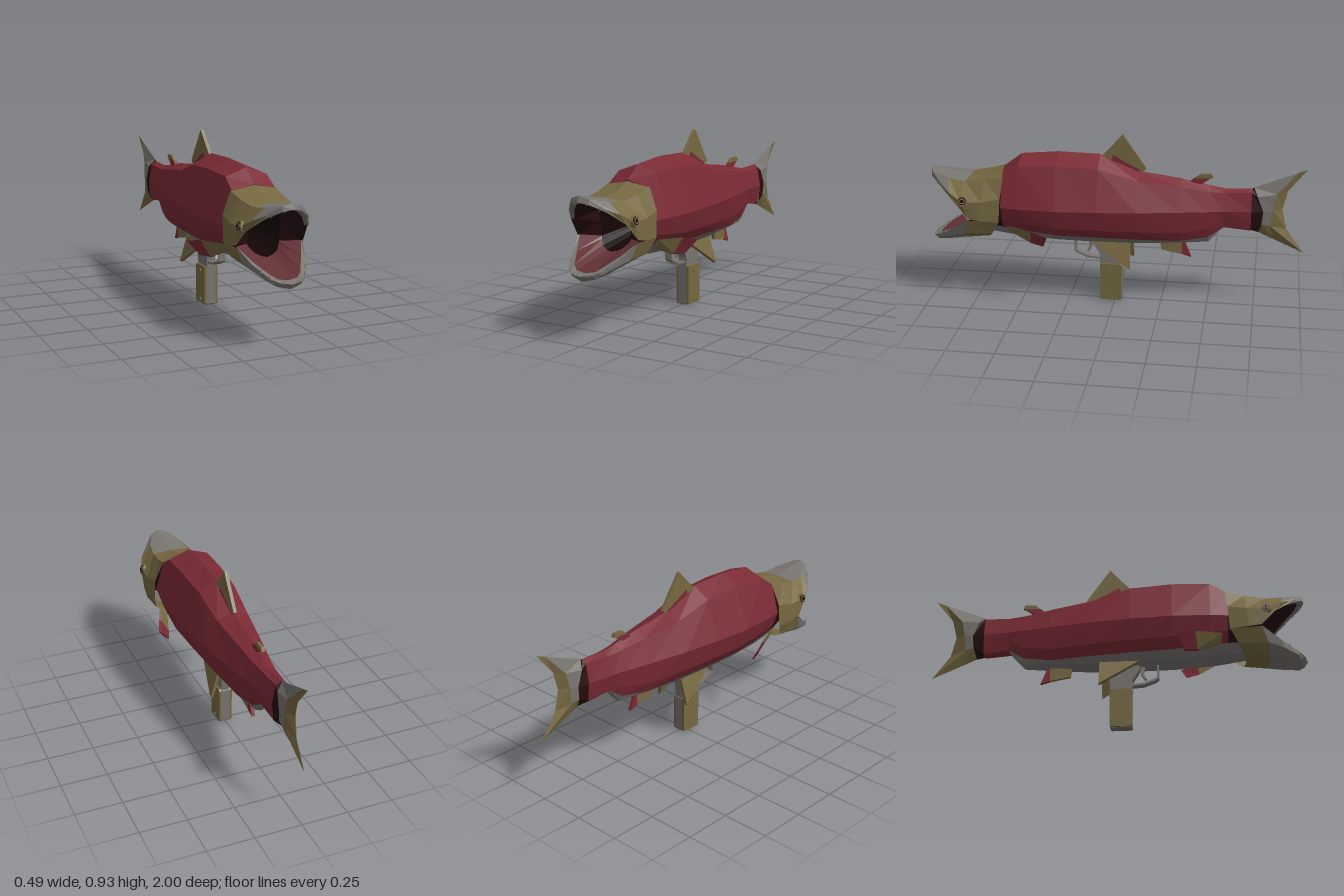
import * as THREE from 'three';

const paint = (name, color) => new THREE.MeshStandardMaterial({ name, color, flatShading: true, side: THREE.DoubleSide });
const red = paint('salmonRed', 0x7a2a34);
const olive = paint('olive', 0x766841);
const grey = paint('bellyGrey', 0x787470);
const dark = paint('darkMaroon', 0x260b0e);
const pink = paint('mouthPink', 0x623135);
const black = paint('throatBlack', 0x140506);

export function createModel() {
  const model = new THREE.Group();

  function add(name, geometry, material, parent = model) {
    const mesh = new THREE.Mesh(geometry, material);
    mesh.name = name;
    parent.add(mesh);
    return mesh;
  }

  // Skin over rows of half-section points, mirrored in x; pick(row, column) chooses the colour
  function skin(name, rows, pick) {
    const buckets = new Map();
    const part = new THREE.Group();
    part.name = name;
    for (let r = 0; r < rows.length - 1; r++) {
      for (let c = 0; c < rows[r].length - 1; c++) {
        const a = rows[r][c], b = rows[r + 1][c], d = rows[r][c + 1], e = rows[r + 1][c + 1];
        const mat = pick(r, c);
        if (!buckets.has(mat)) buckets.set(mat, []);
        const out = buckets.get(mat);
        for (const p of [a, b, d, b, e, d]) out.push(...p);
        for (const p of [a, d, b, b, d, e]) out.push(-p[0], p[1], p[2]);
      }
    }
    for (const [mat, values] of buckets) {
      const g = new THREE.BufferGeometry();
      g.setAttribute('position', new THREE.Float32BufferAttribute(values, 3));
      g.computeVertexNormals();
      add(name + '_' + mat.name, g, mat, part);
    }
    model.add(part);
  }

  // Flat plate cut from a [z, y] outline, thick in x
  function plate(name, outline, thickness, mat, x = 0) {
    const shape = new THREE.Shape(outline.map(p => new THREE.Vector2(...p)));
    const g = new THREE.ExtrudeGeometry(shape, { depth: thickness, bevelEnabled: false });
    g.translate(0, 0, -thickness / 2).rotateY(-Math.PI / 2);
    const mesh = add(name, g, mat);
    mesh.position.x = x;
    return mesh;
  }

  // Body: z, ridge y, shoulder x, shoulder y, half width, belly border y, bottom y
  const body = [
    [-0.72, 0.665, 0.027, 0.65, 0.045, 0.45, 0.435],
    [-0.58, 0.66, 0.036, 0.645, 0.06, 0.465, 0.45],
    [-0.50, 0.675, 0.045, 0.65, 0.075, 0.41, 0.36],
    [-0.35, 0.705, 0.063, 0.675, 0.105, 0.385, 0.35],
    [-0.13, 0.735, 0.087, 0.705, 0.145, 0.39, 0.34],
    [0.08, 0.82, 0.10, 0.765, 0.17, 0.395, 0.34],
    [0.30, 0.825, 0.11, 0.775, 0.185, 0.40, 0.345],
    [0.50, 0.807, 0.112, 0.767, 0.175, 0.42, 0.355],
    [0.59, 0.738, 0.117, 0.708, 0.162, 0.43, 0.365],
    [0.69, 0.66, 0.08, 0.63, 0.13, 0.44, 0.375],
  ].map(([z, top, sx, sy, w, border, bottom]) => [
    [0, top, z], [sx, sy, z], [w, 0.55, z], [0.84 * w, border + 0.045, z],
    [0.61 * w, border - 0.009, z], [0.38 * w, bottom + 0.008, z], [0, bottom, z],
  ]);
  skin('body', body, (r, c) => c >= 4 && r > 0 ? grey : r === 8 ? dark : red);

  // Tail, from trailing edge to root
  skin('tail', [
    [[0, 0.78, -1], [0, 0.66, -0.905], [0, 0.56, -0.88], [0, 0.45, -0.905], [0, 0.32, -1]],
    [[0, 0.76, -0.95], [0.025, 0.645, -0.848], [0.03, 0.56, -0.83], [0.025, 0.47, -0.82], [0, 0.39, -0.84]],
    [[0, 0.672, -0.73], [0.032, 0.63, -0.75], [0.037, 0.55, -0.782], [0.032, 0.48, -0.775], [0, 0.425, -0.76]],
    [[0, 0.665, -0.72], [0.027, 0.65, -0.72], [0.045, 0.55, -0.72], [0.035, 0.45, -0.72], [0, 0.435, -0.72]],
  ], (r, c) => r === 2 ? dark : r === 1 && c < 3 ? grey : olive);

  // Upper head, from gill to snout lip
  skin('upperHead', [
    [[0, 0.74, 0.58], [0.122, 0.712, 0.58], [0.168, 0.60, 0.59], [0.17, 0.47, 0.60]],
    [[0, 0.70, 0.68], [0.115, 0.685, 0.68], [0.178, 0.58, 0.69], [0.18, 0.475, 0.70]],
    [[0, 0.678, 0.78], [0.105, 0.668, 0.79], [0.18, 0.58, 0.80], [0.178, 0.485, 0.765]],
    [[0, 0.695, 0.88], [0.09, 0.68, 0.88], [0.15, 0.62, 0.87], [0.16, 0.57, 0.84]],
    [[0, 0.715, 0.99], [0.05, 0.70, 0.98], [0.105, 0.65, 0.925], [0.11, 0.635, 0.92]],
    [[0, 0.685, 1], [0.05, 0.674, 0.985], [0.11, 0.635, 0.92], [0.11, 0.635, 0.92]],
  ], (r, c) => (r >= 2 && c === 0) || (r >= 3 && c === 1) ? grey : olive);

  // Lower jaw, from gill to chin
  skin('lowerJaw', [
    [[0.17, 0.47, 0.60], [0.145, 0.40, 0.64], [0.08, 0.36, 0.67], [0, 0.35, 0.68]],
    [[0.177, 0.475, 0.765], [0.15, 0.392, 0.795], [0.085, 0.347, 0.80], [0, 0.333, 0.80]],
    [[0.14, 0.41, 0.86], [0.127, 0.37, 0.875], [0.08, 0.333, 0.885], [0, 0.32, 0.90]],
    [[0.095, 0.362, 0.945], [0.09, 0.342, 0.95], [0.065, 0.322, 0.96], [0, 0.308, 0.98]],
    [[0.092, 0.36, 0.95], [0.088, 0.356, 0.955], [0.06, 0.343, 0.985], [0, 0.335, 1]],
  ], r => r === 0 ? olive : grey);

  // Mouth lining, from rim over the lips and through throat to gullet
  const rim = [
    [0, 0.685, 1], [0.05, 0.674, 0.985], [0.11, 0.635, 0.92], [0.16, 0.57, 0.84], [0.177, 0.478, 0.765],
    [0.14, 0.41, 0.86], [0.092, 0.36, 0.95], [0.06, 0.343, 0.985], [0, 0.335, 1],
  ];
  const lip = [
    [0, 0.678, 0.965], [0.044, 0.664, 0.95], [0.098, 0.625, 0.895], [0.152, 0.565, 0.825], [0.172, 0.478, 0.755],
    [0.127, 0.418, 0.84], [0.08, 0.372, 0.925], [0.05, 0.352, 0.95], [0, 0.346, 0.96],
  ];
  const throat = [
    [0, 0.615, 0.72], [0.045, 0.613, 0.72], [0.083, 0.605, 0.71], [0.086, 0.54, 0.70], [0.086, 0.47, 0.69],
    [0.08, 0.455, 0.70], [0.06, 0.43, 0.72], [0.03, 0.413, 0.73], [0, 0.408, 0.74],
  ];
  const gullet = throat.map(([x, y]) => [x * 0.5, 0.53 + (y - 0.53) * 0.5, 0.45]);
  const end = throat.map(() => [0, 0.53, 0.45]);
  skin('mouth', [rim, lip, throat, gullet, end], (r, c) =>
    r > 1 ? black : r === 0 && c !== 3 ? grey : c >= 4 ? pink : dark);

  // Pectoral fins
  const finRow = (p, q) => [p, q, [q[0] - 0.014, q[1] - 0.006, q[2]], [p[0] - 0.014, p[1] - 0.006, p[2]], p];
  const tip = [0.215, 0.39, 0.345];
  skin('pectoralFin', [
    [tip, tip, tip, tip, tip],
    finRow([0.245, 0.425, 0.33], [0.19, 0.355, 0.36]),
    finRow([0.21, 0.445, 0.42], [0.165, 0.362, 0.43]),
    finRow([0.158, 0.452, 0.56], [0.13, 0.412, 0.55]),
  ], r => r < 2 ? red : olive);

  // Fins along the centre line
  plate('dorsalFin', [[0.07, 0.81], [-0.04, 0.93], [-0.165, 0.75], [-0.13, 0.72], [0, 0.76]], 0.018, olive);
  plate('dorsalFinBase', [[0.03, 0.76], [0.01, 0.82], [-0.05, 0.785], [-0.13, 0.745], [-0.14, 0.71]], 0.022, red);
  plate('adiposeFin', [[-0.41, 0.70], [-0.45, 0.733], [-0.505, 0.735], [-0.515, 0.715], [-0.46, 0.705]], 0.018, olive);
  plate('adiposeFinBase', [[-0.39, 0.685], [-0.42, 0.71], [-0.50, 0.712], [-0.47, 0.69], [-0.44, 0.67]], 0.02, red);
  plate('analFin', [[-0.24, 0.36], [-0.25, 0.30], [-0.36, 0.28], [-0.36, 0.36]], 0.018, olive);
  plate('analFinTip', [[-0.36, 0.36], [-0.36, 0.28], [-0.41, 0.265], [-0.37, 0.36]], 0.018, red);

  // Grip frame and trigger
  plate('gripFrame', [[0.12, 0.345], [0.12, 0.325], [0.08, 0.26], [0.08, 0.2], [-0.035, 0.2], [-0.05, 0.345]], 0.05, grey);
  const handle = s => [[0.078, 0.21], [0.078, s + 0.006], [0.072, s], [-0.032, s], [-0.038, s + 0.006], [-0.038, 0.2], [-0.028, 0.21]];
  plate('gripCore', handle(0), 0.05, grey);
  plate('triggerGuard', [[0.22, 0.345], [0.22, 0.27], [0.2, 0.257], [0.14, 0.235], [0.075, 0.23],
    [0.075, 0.24], [0.14, 0.247], [0.195, 0.268], [0.21, 0.28], [0.21, 0.345]], 0.04, grey);
  plate('trigger', [[0.145, 0.345], [0.14, 0.3], [0.155, 0.27], [0.145, 0.27], [0.125, 0.3], [0.125, 0.345]], 0.02, grey);

  // Paired details: pelvic fins, grip panels, screws, eyes, teeth
  for (const s of [-1, 1]) {
    const pelvic = plate('pelvicFin', [[0.12, 0.01], [-0.09, 0.01], [-0.09, -0.135]], 0.018, olive);
    pelvic.position.set(s * 0.063, 0.34, 0);
    pelvic.rotation.z = s * 0.29;

    plate('gripPanel', handle(0.002), 0.012, olive, s * 0.031);
    for (const [y, z] of [[0.18, 0.02], [0.022, 0.02]]) {
      const screw = add('gripScrew', new THREE.CylinderGeometry(0.008, 0.008, 0.006, 8), olive);
      screw.rotation.z = Math.PI / 2;
      screw.position.set(s * 0.039, y, z);
    }

    const eye = new THREE.Group();
    eye.name = 'eye';
    for (const [name, radius, height, mat] of [['eyeRim', 0.032, 0.02, olive], ['iris', 0.024, 0.025, dark],
      ['eyeRing', 0.018, 0.029, olive], ['pupil', 0.011, 0.033, black]]) {
      add(name, new THREE.CylinderGeometry(radius * 0.85, radius, height, 10), mat, eye);
    }
    eye.rotation.z = -s * 1.3;
    eye.position.set(s * 0.169, 0.58, 0.79);
    model.add(eye);

    for (const [x, y, z, up] of [[0.035, 0.675, 0.98, -1], [0.085, 0.65, 0.945, -1], [0.125, 0.618, 0.89, -1],
      [0.035, 0.345, 0.985, 1], [0.09, 0.367, 0.945, 1], [0.115, 0.39, 0.905, 1]]) {
      const tooth = add('tooth', new THREE.ConeGeometry(0.007, 0.022, 4), grey);
      tooth.position.set(s * x, y, z);
      if (up < 0) tooth.rotation.z = Math.PI;
    }
  }
  return model;
}
